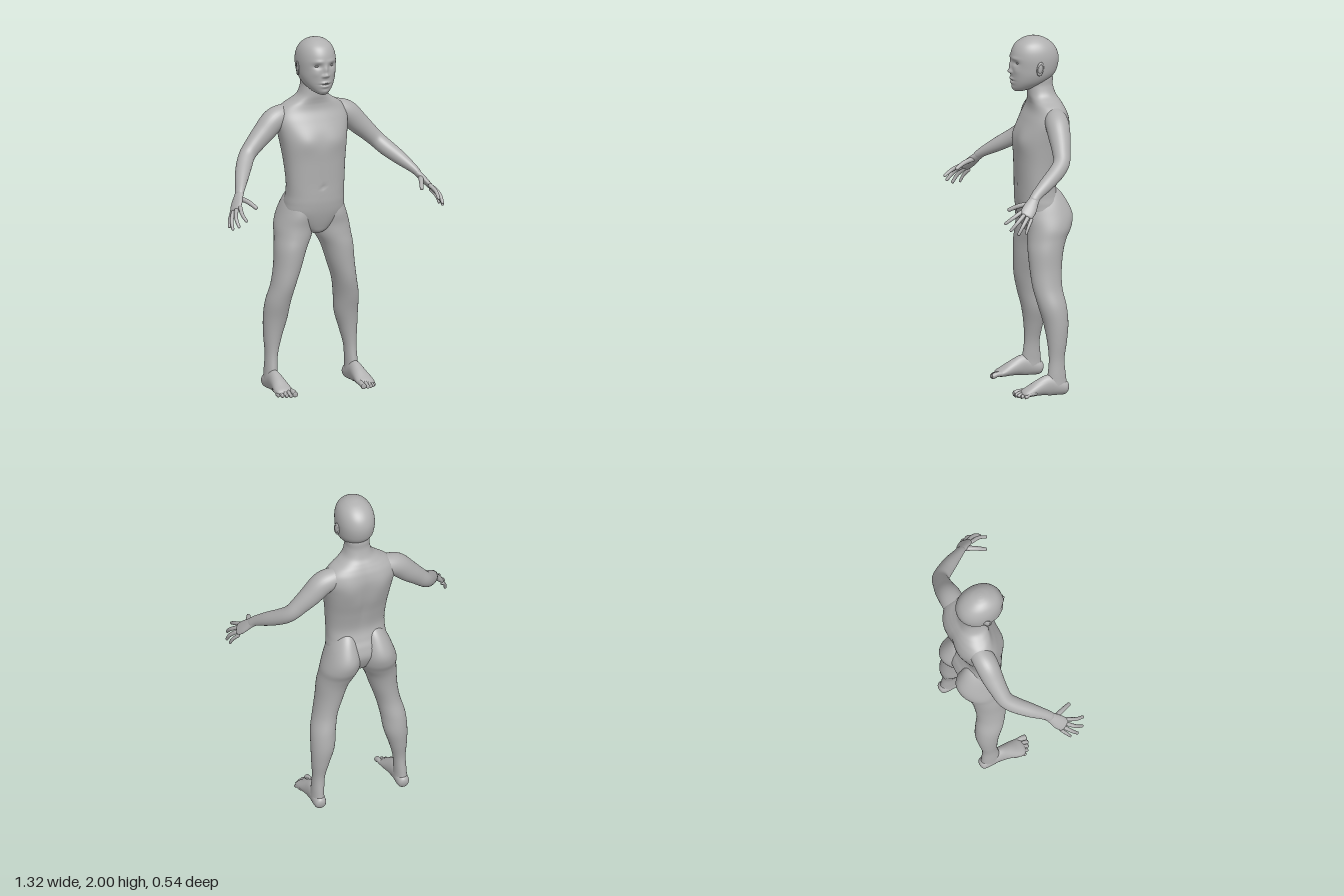
import * as THREE from 'three';

const skin = new THREE.MeshStandardMaterial({ color: 0xb0b0b0 });
skin.name = 'plain grey skin';

// Catmull-Rom through rows of numbers, t from 0 to 1
function sample(rows, t) {
  const f = t * (rows.length - 1);
  const i = Math.min(Math.floor(f), rows.length - 2);
  const k = f - i;
  const at = (j) => rows[Math.max(0, Math.min(rows.length - 1, j))];
  const [a, b, c, d] = [at(i - 1), at(i), at(i + 1), at(i + 2)];
  return b.map((_, n) => b[n] + 0.5 * k * (c[n] - a[n] +
    k * (2 * a[n] - 5 * b[n] + 4 * c[n] - d[n] + k * (3 * (b[n] - c[n]) + d[n] - a[n]))));
}

// Closed skin over rings; point(t, angle) gives each vertex
function skinOver(steps, sides, point) {
  const pos = [], index = [];
  for (let i = 0; i <= steps; i++) {
    for (let j = 0; j < sides; j++) {
      pos.push(...point(i / steps, (j / sides) * Math.PI * 2));
      if (i === steps) continue;
      const a = i * sides + j, b = i * sides + (j + 1) % sides;
      index.push(a, a + sides, b, b, a + sides, b + sides);
    }
  }
  const g = new THREE.BufferGeometry();
  g.setAttribute('position', new THREE.Float32BufferAttribute(pos, 3));
  g.setIndex(index);
  g.computeVertexNormals();
  return g;
}

// Upright form. Rows: y, centre x, half width, front z, back z
// Bumps: |x|, y, spread x, spread y, amount, side (1 front, -1 back)
function upright(rows, steps, sides, power = 2, bumps = []) {
  const pw = (v) => Math.sign(v) * Math.abs(v) ** (2 / power);
  return skinOver(steps, sides, (t, a) => {
    const [y, cx, w, zf, zb] = sample(rows, t);
    const x = cx + Math.max(w, 0) * pw(Math.cos(a));
    let z = (zf + zb) / 2 + ((zf - zb) / 2) * pw(Math.sin(a));
    for (const [bx, by, sx, sy, amount, side] of bumps) {
      const near = Math.min(1, Math.max(0, 3 * side * Math.sin(a)));
      z += side * near * amount * Math.exp(-(((Math.abs(x) - bx) / sx) ** 2) - ((y - by) / sy) ** 2);
    }
    return [x, y, z];
  });
}

// Limb along a path. Rows: x, y, z, half width, half thickness
function limb(rows, normal, cap, steps = 40, sides = 24) {
  const n = new THREE.Vector3(...normal);
  return skinOver(steps, sides, (s, a) => {
    const t = (1 - Math.cos(Math.PI * s)) / 2;
    const [x, y, z, ra, rb] = sample(rows, t);
    const p0 = sample(rows, Math.max(0, t - 0.01)), p1 = sample(rows, Math.min(1, t + 0.01));
    const d = new THREE.Vector3(p1[0] - p0[0], p1[1] - p0[1], p1[2] - p0[2]).normalize();
    const u = new THREE.Vector3().crossVectors(d, n).normalize();
    const v = new THREE.Vector3().crossVectors(u, d);
    const round = Math.sqrt(Math.max(0, 1 - Math.max(0, 1 - Math.min(t, 1 - t) / cap) ** 2));
    return new THREE.Vector3(x, y, z)
      .addScaledVector(u, ra * round * Math.cos(a))
      .addScaledVector(v, rb * round * Math.sin(a)).toArray();
  });
}

function mirrored(geometry) {
  const g = geometry.clone().scale(-1, 1, 1);
  const ix = g.index.array;
  for (let i = 0; i < ix.length; i += 3) [ix[i], ix[i + 1]] = [ix[i + 1], ix[i]];
  g.computeVertexNormals();
  return g;
}

export function createModel() {
  const model = new THREE.Group();
  model.name = 'human figure';
  const add = (name, geometry) => {
    const mesh = new THREE.Mesh(geometry, skin);
    mesh.name = name;
    model.add(mesh);
  };
  const pair = (name, geometry) => {
    add('left' + name, geometry);
    add('right' + name, mirrored(geometry));
  };

  // Torso and neck
  add('torso', upright([
    [0.875, 0, 0, -0.09, -0.11], [0.89, 0, 0.045, -0.035, -0.17], [0.93, 0, 0.11, -0.012, -0.205],
    [1.0, 0, 0.172, 0.01, -0.235], [1.06, 0, 0.174, 0.02, -0.225], [1.11, 0, 0.169, 0.022, -0.205],
    [1.18, 0, 0.17, 0.022, -0.19], [1.29, 0, 0.178, 0.025, -0.213], [1.385, 0, 0.19, 0.027, -0.24],
    [1.46, 0, 0.203, 0.012, -0.252], [1.53, 0, 0.215, -0.02, -0.256], [1.58, 0, 0.2, -0.045, -0.247],
    [1.615, 0, 0.165, -0.052, -0.232], [1.64, 0, 0.122, -0.05, -0.218], [1.67, 0, 0.085, -0.045, -0.2],
    [1.72, 0, 0.068, -0.045, -0.185], [1.78, 0, 0.062, -0.05, -0.18], [1.8, 0, 0, -0.11, -0.12],
  ], 110, 72, 2.3, [
    [0.09, 1.42, 0.06, 0.05, 0.008, 1], [0, 1.16, 0.009, 0.01, -0.008, 1],
    [0.1, 1.49, 0.05, 0.08, 0.01, -1], [0, 1.38, 0.022, 0.17, -0.012, -1],
  ]));

  // Head with modelled face
  add('head', upright([
    [1.688, 0, 0, 0.02, 0], [1.693, 0, 0.024, 0.033, -0.03], [1.712, 0, 0.052, 0.044, -0.085],
    [1.745, 0, 0.08, 0.05, -0.15], [1.785, 0, 0.097, 0.053, -0.195], [1.83, 0, 0.104, 0.053, -0.214],
    [1.88, 0, 0.106, 0.054, -0.218], [1.925, 0, 0.099, 0.044, -0.204], [1.96, 0, 0.082, 0.022, -0.176],
    [1.985, 0, 0.054, -0.015, -0.138], [1.997, 0, 0.024, -0.05, -0.1], [2.0, 0, 0, -0.073, -0.077],
  ], 130, 120, 2.1, [
    [0, 1.835, 0.011, 0.024, 0.012, 1], [0, 1.806, 0.013, 0.012, 0.018, 1],
    [0.016, 1.802, 0.008, 0.008, 0.008, 1], [0.043, 1.857, 0.022, 0.014, -0.013, 1],
    [0.04, 1.884, 0.03, 0.01, 0.004, 1], [0, 1.764, 0.025, 0.007, 0.01, 1],
    [0, 1.741, 0.022, 0.008, 0.008, 1], [0, 1.753, 0.028, 0.003, -0.007, 1],
    [0, 1.712, 0.022, 0.012, 0.005, 1], [0.055, 1.815, 0.02, 0.02, 0.004, 1],
  ]));
  pair('Eye', new THREE.SphereGeometry(0.016, 24, 16).scale(1, 0.5, 1).translate(0.043, 1.857, 0.02));

  // Ears: a flat shell with a raised rim
  const placeEar = (g) => g.rotateY(Math.PI / 2 + 0.3).rotateX(-0.15).translate(0.108, 1.83, -0.085);
  pair('Ear', placeEar(new THREE.SphereGeometry(0.02, 24, 16).scale(0.9, 1.5, 0.4)));
  pair('EarRim', placeEar(new THREE.TorusGeometry(0.018, 0.005, 10, 32).scale(0.95, 1.75, 1.2)));

  // Legs from ankle to buttock
  pair('Leg', upright([
    [0.02, 0.25, 0, -0.13, -0.14], [0.035, 0.25, 0.033, -0.08, -0.195], [0.1, 0.249, 0.034, -0.085, -0.192],
    [0.2, 0.243, 0.035, -0.096, -0.184], [0.3, 0.233, 0.051, -0.09, -0.2], [0.4, 0.219, 0.067, -0.073, -0.212],
    [0.5, 0.21, 0.07, -0.045, -0.205], [0.6, 0.188, 0.068, -0.02, -0.187], [0.7, 0.164, 0.077, -0.01, -0.19],
    [0.8, 0.144, 0.09, -0.005, -0.205], [0.87, 0.122, 0.103, -0.008, -0.23], [0.93, 0.111, 0.107, -0.01, -0.26],
    [1.0, 0.1, 0.096, -0.004, -0.27], [1.08, 0.09, 0.075, -0.02, -0.235], [1.14, 0.08, 0.045, -0.06, -0.19],
    [1.17, 0.08, 0, -0.12, -0.13],
  ], 90, 48));

  // Feet and toes
  pair('Foot', limb([
    [0.25, 0.035, -0.206, 0.03, 0.033], [0.25, 0.045, -0.165, 0.036, 0.045], [0.25, 0.06, -0.1, 0.036, 0.06],
    [0.25, 0.05, -0.04, 0.043, 0.046], [0.252, 0.031, 0.02, 0.052, 0.029], [0.253, 0.018, 0.07, 0.05, 0.016],
  ], [0, 1, 0], 0.13));
  [[0.212, 0.103, 0.016], [0.239, 0.102, 0.0115], [0.26, 0.093, 0.011], [0.28, 0.08, 0.0105], [0.297, 0.06, 0.01]]
    .forEach(([x, tip, r], i) => pair('Toe' + (i + 1), limb([
      [0.25 + (x - 0.25) * 0.85, 0.024, tip - 0.075, r, r], [x, 0.025, tip - 0.035, r * 0.9, r * 0.9],
      [x, r + 0.001, tip - 0.012, r, r], [x, r, tip, r, r],
    ], [0, 1, 0], 0.15, 20, 14)));

  // Arms from shoulder to wrist
  const flat = [0.8, 0.6, 0.1];
  pair('Arm', limb([
    [0.09, 1.565, -0.155, 0.05, 0.05], [0.16, 1.555, -0.155, 0.062, 0.06], [0.225, 1.53, -0.15, 0.066, 0.066],
    [0.29, 1.467, -0.145, 0.06, 0.061], [0.35, 1.41, -0.136, 0.051, 0.052], [0.4, 1.36, -0.122, 0.046, 0.046],
    [0.44, 1.317, -0.08, 0.045, 0.045], [0.49, 1.268, -0.01, 0.04, 0.038], [0.535, 1.22, 0.06, 0.03, 0.025],
    [0.56, 1.188, 0.092, 0.028, 0.019],
  ], flat, 0.06, 70, 32));

  // Hands: palm, four fingers and thumb
  pair('Palm', limb([
    [0.53, 1.222, 0.053, 0.025, 0.02], [0.555, 1.192, 0.085, 0.03, 0.019],
    [0.585, 1.152, 0.118, 0.04, 0.017], [0.61, 1.118, 0.148, 0.037, 0.013],
  ], flat, 0.12));
  const fingers = [
    ['Index', [0.585, 1.143, 0.162], [0.6, 1.115, 0.215], [0.595, 1.08, 0.266]],
    ['Middle', [0.603, 1.13, 0.152], [0.63, 1.092, 0.2], [0.63, 1.045, 0.243]],
    ['Ring', [0.613, 1.117, 0.135], [0.643, 1.075, 0.172], [0.65, 1.025, 0.203]],
    ['Little', [0.612, 1.108, 0.112], [0.64, 1.068, 0.14], [0.65, 1.028, 0.158]],
    ['Thumb', [0.56, 1.178, 0.105], [0.535, 1.165, 0.165], [0.51, 1.137, 0.222]],
  ];
  for (const [name, base, mid, tip] of fingers) {
    const r = name === 'Thumb' ? 0.013 : name === 'Little' ? 0.009 : 0.0105;
    const rows = [[...base, r * 1.15, r * 1.15], [...mid, r, r], [...tip, r * 0.8, r * 0.8]];
    pair(name + 'Finger', limb(rows, flat, 0.09, 24, 14));
  }
  return model;
}
